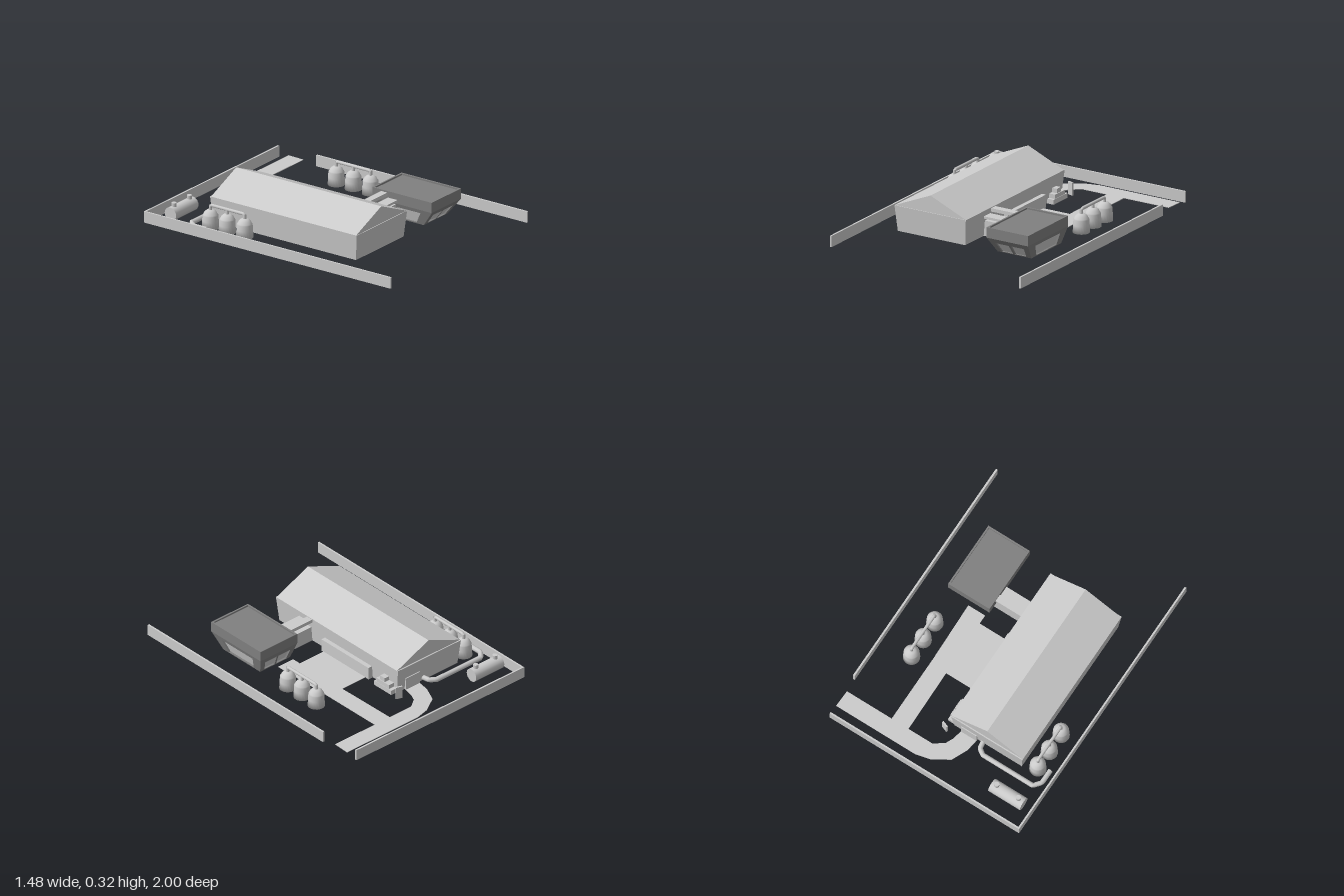
import * as THREE from 'three';

export function createModel() {
  const root = new THREE.Group();
  const grey = new THREE.MeshStandardMaterial({ color: 0xcccccc, side: THREE.DoubleSide });
  const dark = new THREE.MeshStandardMaterial({ color: 0x808080, side: THREE.DoubleSide });

  const add = (name, geo, mat = grey, parent = root) => {
    const m = new THREE.Mesh(geo, mat);
    m.name = name;
    parent.add(m);
    return m;
  };
  // Box given by its limits
  const box = (name, x0, x1, y0, y1, z0, z1, mat, parent) =>
    add(name, new THREE.BoxGeometry(x1 - x0, y1 - y0, z1 - z0)
      .translate((x0 + x1) / 2, (y0 + y1) / 2, (z0 + z1) / 2), mat, parent);
  // Box whose lower and upper rectangles [x0, x1, z0, z1] differ
  const frustum = (name, lo, y0, hi, y1, mat, parent) => {
    const g = new THREE.BoxGeometry(1, 1, 1).toNonIndexed();
    const p = g.attributes.position;
    for (let i = 0; i < p.count; i++) {
      const up = p.getY(i) > 0, r = up ? hi : lo;
      p.setXYZ(i, p.getX(i) < 0 ? r[0] : r[1], up ? y1 : y0, p.getZ(i) < 0 ? r[2] : r[3]);
    }
    g.computeVertexNormals();
    return add(name, g, mat, parent);
  };
  // Flat slab from [x, z] outline points
  const slab = (name, pts, y, h) => {
    const s = new THREE.Shape(pts.map(([x, z]) => new THREE.Vector2(x, -z)));
    const g = new THREE.ExtrudeGeometry(s, { depth: h, bevelEnabled: false });
    return add(name, g.rotateX(-Math.PI / 2).translate(0, y, 0));
  };
  // Round pipe with mitred bends through points
  const pipe = (name, pts, r, parent, sides = 10) => {
    const path = new THREE.CurvePath();
    const v = pts.map(p => new THREE.Vector3(...p));
    for (let i = 1; i < v.length; i++) path.add(new THREE.LineCurve3(v[i - 1], v[i]));
    return add(name, new THREE.TubeGeometry(path, 48, r, sides, false), grey, parent);
  };

  // Perimeter walls
  box('leftWall', -0.742, -0.73, 0, 0.077, -1, 0.985);
  box('backWall', -0.742, 0.72, 0, 0.077, -1, -0.988);
  box('rightWall', 0.725, 0.738, 0, 0.077, -0.695, 1);

  // Paved roads
  slab('curvedRoad', [[-0.17, -0.615], [-0.155, -0.71], [-0.105, -0.82], [0.01, -0.892], [0.115, -0.917],
    [0.725, -0.917], [0.72, -0.795], [0.06, -0.795], [-0.01, -0.745], [-0.035, -0.69], [-0.05, -0.615]], 0.021, 0.004);
  slab('sideRoad', [[0.245, -0.795], [0.375, -0.795], [0.375, -0.3], [0.385, 0.13], [0.255, 0.13],
    [0.255, 0.065], [0.01, 0.065], [0.01, -0.34], [0.25, -0.34]], 0.021, 0.004);

  // Main hall: walls leaning outward under a gable roof
  const hall = new THREE.Group();
  hall.name = 'hall';
  root.add(hall);
  frustum('hallWalls', [-0.51, 0.01, -0.61, 0.535], 0.022, [-0.525, 0.025, -0.628, 0.552], 0.2, grey, hall);
  const gable = new THREE.Shape([[-0.525, 0.2], [0.025, 0.2], [-0.25, 0.317]].map(p => new THREE.Vector2(...p)));
  add('hallRoof', new THREE.ExtrudeGeometry(gable, { depth: 1.167, bevelEnabled: false }).translate(0, 0, -0.62), grey, hall);
  box('sideDock', 0, 0.048, 0.022, 0.11, -0.37, 0.085, grey, hall);
  box('rearDoor', -0.17, -0.05, 0.022, 0.11, -0.625, -0.6, grey, hall);

  // Office: vertical upper storey over a tapered storey with recessed windows
  const office = new THREE.Group();
  office.name = 'office';
  root.add(office);
  const lo = [0.25, 0.51, 0.165, 0.52], hi = [0.22, 0.54, 0.128, 0.606], y0 = 0.022, y1 = 0.135;
  box('officeUpper', hi[0], hi[1], y1, 0.195, hi[2], hi[3], dark, office);
  for (const s of [0, 1]) {
    const x = s ? hi[1] - 0.012 : hi[0], z = s ? hi[3] - 0.012 : hi[2];
    box('parapet', x, x + 0.012, 0.195, 0.206, hi[2], hi[3], dark, office);
    box('parapet', hi[0], hi[1], 0.195, 0.206, z, z + 0.012, dark, office);
  }
  const inset = (r, d) => [r[0] + d, r[1] - d, r[2] + d, r[3] - d];
  frustum('glazing', inset(lo, 0.014), y0 + 0.003, inset(hi, 0.014), y1, grey, office);
  box('officeFloor', lo[0], lo[1], y0, y0 + 0.006, lo[2], lo[3], dark, office);
  // Corner k (counted round the plan) of a rectangle, bottom or top
  const corner = (k, up) => {
    const r = up ? hi : lo;
    return new THREE.Vector3(r[[0, 1, 1, 0][k % 4]], up ? y1 : y0, r[[3, 3, 2, 2][k % 4]]);
  };
  for (let k = 0; k < 4; k++) {
    const at = (u, v) => corner(k, 0).lerp(corner(k + 1, 0), u).lerp(corner(k, 1).lerp(corner(k + 1, 1), u), v);
    const inward = new THREE.Vector3([0, -1, 0, 1][k], 0, [-1, 0, 1, 0][k]).multiplyScalar(0.013);
    const quad = (name, a, b, c, d) => {
      const g = new THREE.BufferGeometry().setFromPoints([a, b, c, a, c, d]);
      g.computeVertexNormals();
      add(name, g, dark, office);
    };
    const holes = k % 2 ? [[0.17, 0.83]] : [[0.14, 0.475], [0.525, 0.86]];
    const vb = 0.06, vt = k % 2 ? 0.78 : 0.68;
    const strip = (u0, u1, v0, v1) => quad('windowFrame', at(u0, v0), at(u1, v0), at(u1, v1), at(u0, v1));
    strip(0, 1, 0, vb);
    strip(0, 1, vt, 1);
    let from = 0;
    for (const [a, b] of holes) {
      strip(from, a, vb, vt);
      from = b;
      const ring = [at(a, vb), at(b, vb), at(b, vt), at(a, vt)];
      ring.forEach((p, i) => {
        const q = ring[(i + 1) % 4];
        quad('windowReveal', p, q, q.clone().add(inward), p.clone().add(inward));
      });
    }
    strip(from, 1, vb, vt);
  }

  // Link between hall and office: passage with two ducts above
  box('passage', 0, 0.26, 0.022, 0.128, 0.215, 0.315);
  box('upperDuct', 0.01, 0.225, 0.172, 0.195, 0.2, 0.25);
  box('lowerDuct', 0.01, 0.23, 0.146, 0.162, 0.255, 0.33);

  // Rows of three domed tanks joined by an overhead pipe
  const profile = [[0, 0.022], [0.057, 0.022], [0.054, 0.075], [0.052, 0.112], [0.047, 0.118], [0.04, 0.133], [0.024, 0.147], [0, 0.15]]
    .map(p => new THREE.Vector2(...p));
  const tankRow = (name, x, zs) => {
    const row = new THREE.Group();
    row.name = name;
    root.add(row);
    for (const z of zs) {
      add('tank', new THREE.LatheGeometry(profile, 20).translate(x, 0, z), grey, row);
      pipe('tankOutlet', [[x, 0.14, z], [x, 0.18, z]], 0.011, row);
    }
    const a = zs[0], b = zs[2];
    pipe('overheadPipe', [[x, 0.145, a], [x, 0.172, a], [x, 0.18, a + 0.012],
      [x, 0.18, b - 0.012], [x, 0.172, b], [x, 0.145, b]], 0.011, row);
  };
  tankRow('leftTanks', -0.605, [-0.565, -0.43, -0.29]);
  tankRow('rightTanks', 0.5, [-0.367, -0.23, -0.092]);

  // Lying tank with two filler caps
  const lying = new THREE.Group();
  lying.name = 'lyingTank';
  root.add(lying);
  add('lyingTankBody', new THREE.CylinderGeometry(0.046, 0.046, 0.245, 20).rotateZ(Math.PI / 2).translate(-0.55, 0.073, -0.838), grey, lying);
  for (const x of [-0.632, -0.465])
    add('fillerCap', new THREE.CylinderGeometry(0.017, 0.017, 0.04, 14).translate(x, 0.122, -0.838), grey, lying);

  // Ground pipe from the left tanks to the hall
  pipe('groundPipe', [[-0.685, 0.042, -0.54], [-0.685, 0.042, -0.64], [-0.645, 0.042, -0.688], [-0.26, 0.042, -0.688],
    [-0.22, 0.042, -0.66], [-0.21, 0.042, -0.6]], 0.017, root, 8);

  // Stepped machine beside the hall
  box('machineBase', 0.01, 0.062, 0.022, 0.055, -0.605, -0.44);
  box('machineBody', 0.01, 0.06, 0.055, 0.085, -0.58, -0.46);
  box('machineTop', 0.012, 0.055, 0.085, 0.115, -0.535, -0.49);

  // Small standing panel
  const panel = add('standingPanel', new THREE.BoxGeometry(0.046, 0.088, 0.012));
  panel.position.set(0.048, 0.066, -0.665);
  panel.rotation.y = -0.35;

  return root;
}
